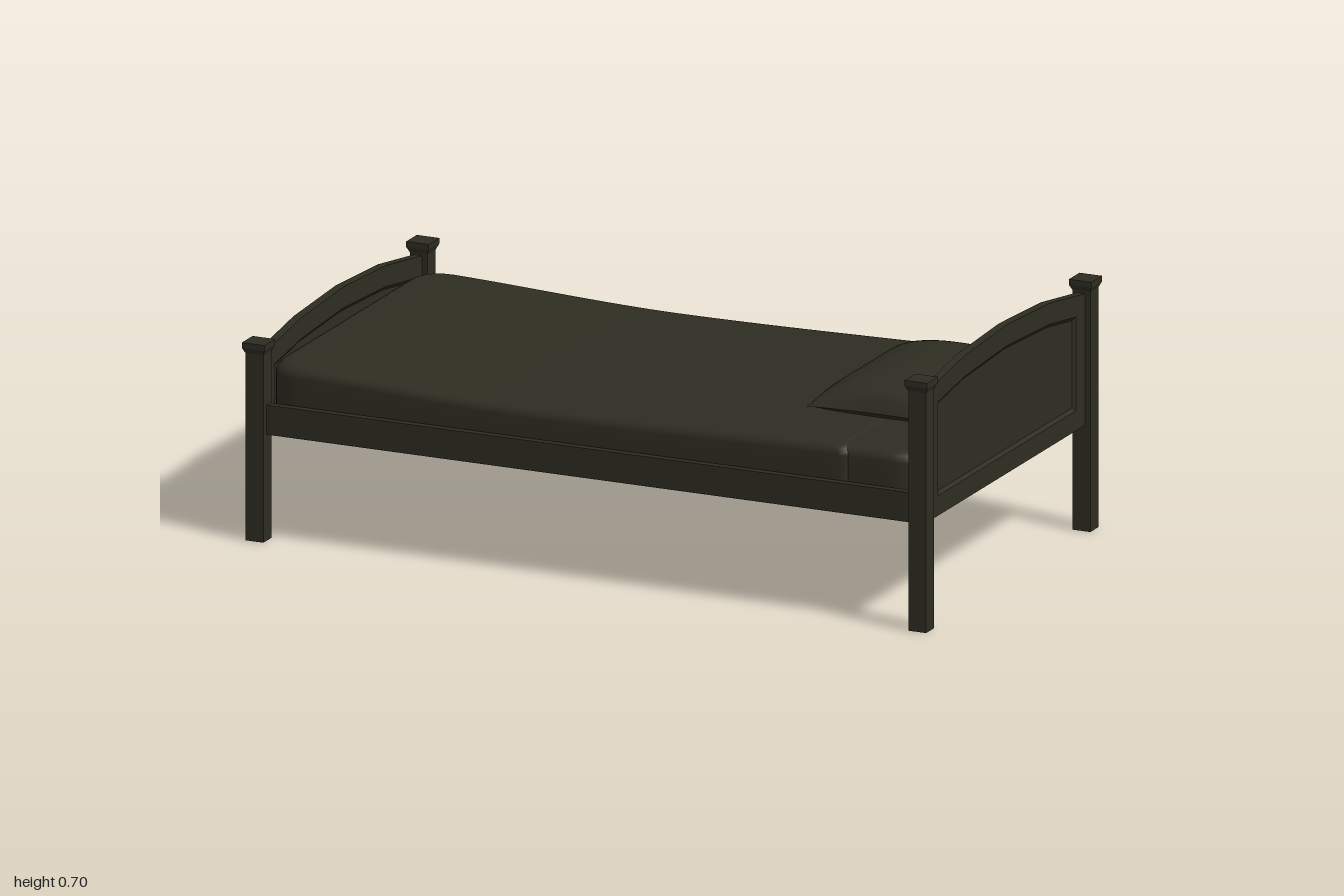
import * as THREE from 'three';
import { mergeGeometries } from 'three/addons/utils/BufferGeometryUtils.js';

const darkOlive = new THREE.MeshStandardMaterial({ color: 0x2e2d22 });
darkOlive.name = 'dark olive';

function add(parent, geometry, name, x = 0, y = 0, z = 0) {
  const mesh = new THREE.Mesh(geometry, darkOlive);
  mesh.name = name;
  mesh.position.set(x, y, z);
  parent.add(mesh);
  return mesh;
}

// Skin over closed rings with equal point counts
function loft(rings, flat = false) {
  const n = rings[0].length, index = [];
  for (let r = 0; r < rings.length - 1; r++) {
    for (let i = 0; i < n; i++) {
      const a = r * n + i, b = r * n + (i + 1) % n;
      index.push(a, b, b + n, a, b + n, a + n);
    }
  }
  let geometry = new THREE.BufferGeometry().setFromPoints(rings.flat());
  geometry.setIndex(index);
  if (flat) geometry = geometry.toNonIndexed();
  geometry.computeVertexNormals();
  return geometry;
}

// Counter-clockwise outline of a board with a five-point arched top
function archPoints(half, bottom, edge, shoulder, peak) {
  return [[-half, bottom], [half, bottom], [half, edge], [0.26, shoulder],
    [0, peak], [-0.26, shoulder], [-half, edge]].map(([x, y]) => new THREE.Vector2(x, y));
}

function extrude(shape, depth) {
  return new THREE.ExtrudeGeometry(shape, { depth, bevelEnabled: false }).translate(0, 0, -depth / 2);
}

// Arched end board: frame, sloped moulding and recessed panel
function endBoard(name, drop) {
  const board = new THREE.Group();
  board.name = name;
  const thick = 0.024, thin = 0.008;
  const outer = archPoints(0.49, 0.293, 0.655 - drop, 0.69 - drop, 0.703 - drop);
  const opening = archPoints(0.428, 0.348, 0.607 - drop, 0.632 - drop, 0.645 - drop);
  const inner = archPoints(0.419, 0.357, 0.598 - drop, 0.622 - drop, 0.635 - drop);
  const frame = new THREE.Shape(outer);
  frame.holes.push(new THREE.Path(opening));
  add(board, extrude(frame, thick), name + 'Frame');
  add(board, extrude(new THREE.Shape(inner), thin), name + 'Panel');
  const atDepth = (points, z) => points.map(p => new THREE.Vector3(p.x, p.y, z));
  const bevel = loft([atDepth(opening, thick / 2), atDepth(inner, thin / 2)], true);
  add(board, bevel, name + 'Moulding');
  add(board, bevel, name + 'Moulding').rotation.y = Math.PI;
  board.rotation.y = Math.PI / 2;
  return board;
}

// Square post with a flared cap
function post(name, height) {
  const group = new THREE.Group();
  group.name = name;
  const body = height - 0.03;
  add(group, new THREE.BoxGeometry(0.052, body, 0.05), name + 'Body', 0, body / 2, 0);
  const flare = new THREE.CylinderGeometry(0.066 / Math.SQRT2, 0.052 / Math.SQRT2, 0.015, 4)
    .rotateY(Math.PI / 4).toNonIndexed();
  flare.computeVertexNormals();
  add(group, flare, name + 'Flare', 0, height - 0.0225, 0);
  add(group, new THREE.BoxGeometry(0.066, 0.015, 0.066), name + 'Cap', 0, height - 0.0075, 0);
  return group;
}

// Gently sagging height of the bedding along its length
function sag(x) {
  const t = x + 0.2;
  return 0.452 + (t < 0 ? 0.024 * THREE.MathUtils.smoothstep(-t, 0, 0.8)
    : 0.018 * THREE.MathUtils.smoothstep(t, 0, 1.15));
}

// Soft slab with rounded plan corners and rolled top edges
function softSlab(x0, x1, halfZ, rLeft, rRight, lift) {
  const shape = new THREE.Shape();
  shape.moveTo(x0 + rLeft, -halfZ);
  shape.lineTo(x1 - rRight, -halfZ);
  shape.quadraticCurveTo(x1, -halfZ, x1, -halfZ + rRight);
  shape.lineTo(x1, halfZ - rRight);
  shape.quadraticCurveTo(x1, halfZ, x1 - rRight, halfZ);
  shape.lineTo(x0 + rLeft, halfZ);
  shape.quadraticCurveTo(x0, halfZ, x0, halfZ - rLeft);
  shape.lineTo(x0, -halfZ + rLeft);
  shape.quadraticCurveTo(x0, -halfZ, x0 + rLeft, -halfZ);
  const outline = shape.getSpacedPoints(200).slice(0, -1);
  const cx = (x0 + x1) / 2, halfX = (x1 - x0) / 2;
  const ring = (inset, height) => outline.map(p => {
    const x = cx + (p.x - cx) * (1 - inset / halfX);
    return new THREE.Vector3(x, height(x), -p.y * (1 - inset / halfZ));
  });
  const rings = [ring(0, () => 0.31), ring(0, () => 0.37)];
  const roll = 0.03;
  for (let i = 0; i <= 5; i++) {
    const a = i / 5 * Math.PI / 2;
    rings.push(ring(roll * (1 - Math.cos(a)), x => sag(x) + lift - roll * (1 - Math.sin(a))));
  }
  // Top surface shrinking towards the middle
  const rim = rings[rings.length - 1];
  for (let i = 1; i <= 16; i++) {
    const s = 1 - i / 16;
    rings.push(rim.map(p => {
      const x = cx + (p.x - cx) * s;
      return new THREE.Vector3(x, sag(x) + lift, p.z * s);
    }));
  }
  return loft(rings);
}

// Half of a puffed pillow with pinched sides; side is 1 for top, -1 for bottom
function pillowHalf(side, puff) {
  const geometry = new THREE.PlaneGeometry(2, 2, 24, 32);
  const pos = geometry.attributes.position;
  for (let i = 0; i < pos.count; i++) {
    const u = pos.getX(i), v = pos.getY(i);
    const h = Math.sqrt(Math.max(0, (1 - u * u) * (1 - v ** 4)));
    pos.setXYZ(i, 0.198 * u * (1 - 0.03 * (1 - v * v)), side * puff * h,
      -side * 0.297 * v * (1 - 0.05 * (1 - u * u)));
  }
  geometry.computeVertexNormals();
  return geometry;
}

export function createModel() {
  const bed = new THREE.Group();
  bed.name = 'bed';
  const endX = 0.967, postZ = 0.509;

  // Posts and end boards
  for (const side of [1, -1]) {
    const label = side > 0 ? 'Front' : 'Back';
    const head = post('headPost' + label, 0.692);
    head.position.set(endX, 0, side * postZ);
    const foot = post('footPost' + label, 0.547);
    foot.position.set(-endX, 0, side * postZ);
    bed.add(head, foot);
    add(bed, new THREE.BoxGeometry(1.89, 0.082, 0.022), 'sideRail' + label, 0, 0.334, side * 0.504);
  }
  const headboard = endBoard('headboard', 0);
  headboard.position.x = 0.966;
  const footboard = endBoard('footboard', 0.145);
  footboard.position.x = -0.97;
  bed.add(headboard, footboard);

  // Base under the mattress
  add(bed, new THREE.BoxGeometry(1.91, 0.02, 0.99), 'bedBase', 0, 0.31, 0);

  // Bedding
  add(bed, softSlab(-0.945, 0.948, 0.481, 0.09, 0.09, 0), 'mattress');
  add(bed, softSlab(-0.956, 0.74, 0.487, 0.09, 0.006, 0.004), 'blanket');
  add(bed, mergeGeometries([pillowHalf(1, 0.077), pillowHalf(-1, 0.032)]), 'pillow', 0.728, 0.5, -0.005);
  return bed;
}
